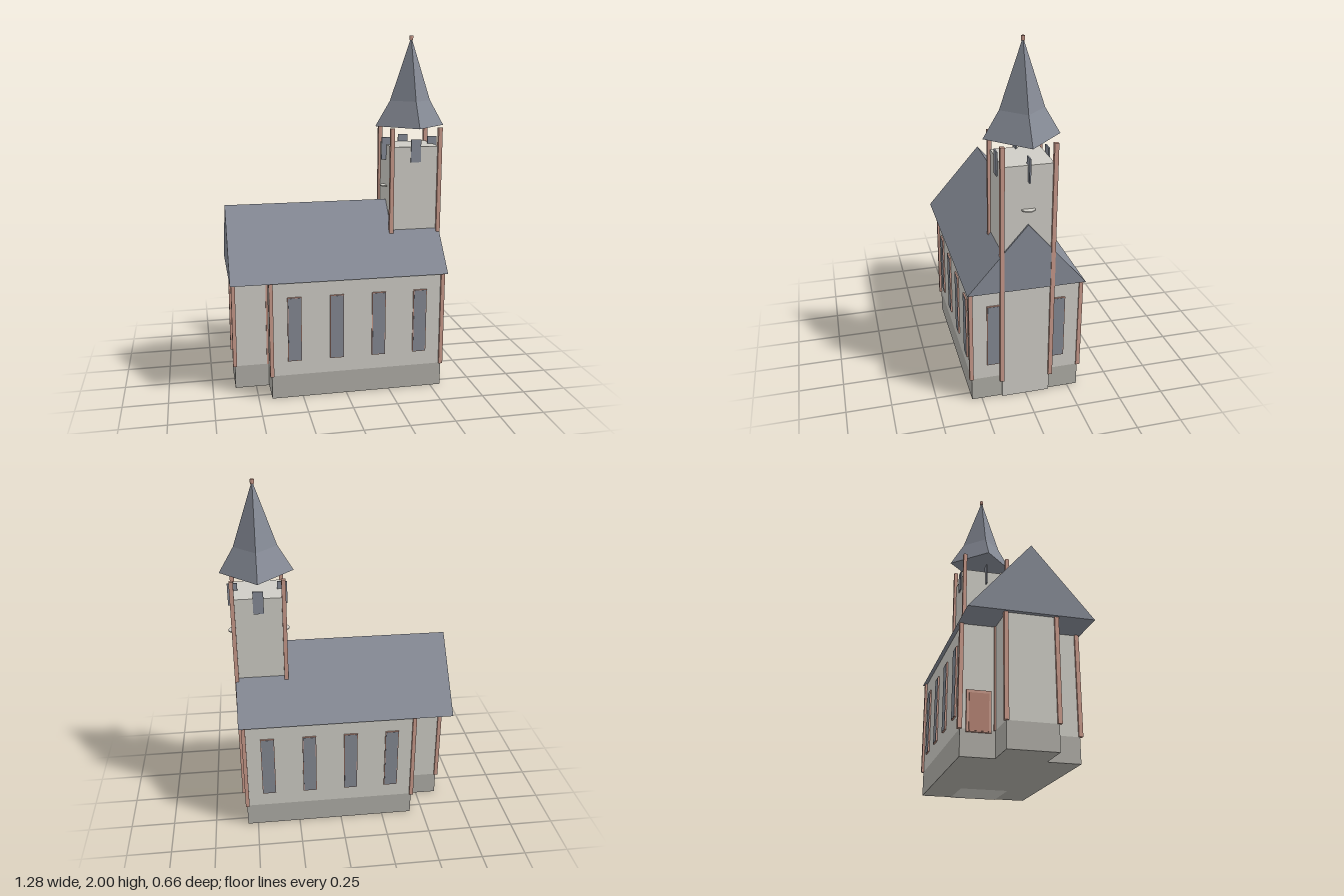
import * as THREE from 'three';

const mat = (name, color) => {
  const m = new THREE.MeshStandardMaterial({ color });
  m.name = name;
  return m;
};

export function createModel() {
  const church = new THREE.Group();
  church.name = 'church';

  const plaster = mat('plaster', 0xcfcdc6);
  const stone = mat('plinth stone', 0xb0aea7);
  const slate = mat('slate', 0x868b96);
  const glass = mat('window glass', 0x848993);
  const copper = mat('copper trim', 0xc8998a);
  const doorWood = mat('door wood', 0xb58474);

  const add = (name, geometry, material, x = 0, y = 0, z = 0, parent = church) => {
    const mesh = new THREE.Mesh(geometry, material);
    mesh.name = name;
    mesh.position.set(x, y, z);
    parent.add(mesh);
    return mesh;
  };
  // Box given by its limits on each axis
  const block = (name, material, [x0, x1], [y0, y1], [z0, z1], parent) =>
    add(name, new THREE.BoxGeometry(x1 - x0, y1 - y0, z1 - z0), material,
      (x0 + x1) / 2, (y0 + y1) / 2, (z0 + z1) / 2, parent);
  const post = (name, x, z, y0, y1, w = 0.022) =>
    block(name, copper, [x - w / 2, x + w / 2], [y0, y1], [z - w / 2, z + w / 2]);

  // Nave and chancel, each on a stone plinth
  const plinthTop = 0.135, eaves = 0.68;
  block('navePlinth', stone, [-0.425, 0.56], [0, plinthTop], [-0.306, 0.306]);
  block('naveWalls', plaster, [-0.425, 0.56], [plinthTop, eaves], [-0.306, 0.306]);
  block('chancelPlinth', stone, [-0.62, -0.425], [0, plinthTop], [-0.13, 0.13]);
  block('chancelWalls', plaster, [-0.62, -0.425], [plinthTop, eaves], [-0.13, 0.13]);

  // Gabled roof, a closed triangular prism along x
  const gable = new THREE.Shape([
    new THREE.Vector2(-0.328, eaves),
    new THREE.Vector2(0.328, eaves),
    new THREE.Vector2(0, 1.06),
  ]);
  const roof = new THREE.ExtrudeGeometry(gable, { depth: 1.228, bevelEnabled: false });
  roof.rotateY(Math.PI / 2);
  add('mainRoof', roof, slate, -0.645);

  // Tower
  const tx = 0.435, half = 0.138;
  block('tower', plaster, [tx - half, tx + half], [0, 1.383], [-0.135, 0.135]);

  for (const s of [-1, 1]) {
    // Corner posts
    post('naveCornerPost', 0.557, s * 0.308, plinthTop, eaves);
    post('naveCornerPost', -0.425, s * 0.308, plinthTop, eaves);
    post('chancelCornerPost', -0.62, s * 0.13, plinthTop, eaves);
    post('chancelJunctionPost', -0.428, s * 0.13, plinthTop, eaves, 0.016);
    for (const side of [-1, 1])
      post('towerPost', tx + side * 0.14, s * 0.139, 0.11, 1.49, 0.023);

    // Belfry shutters rising past the parapet
    block('belfryShutter', slate, [tx - 0.029, tx + 0.029], [1.295, 1.425],
      [s * half - 0.004, s * half + 0.004]);
    block('sideBelfryShutter', slate, [tx + s * half - 0.028, tx + s * half + 0.028],
      [1.295, 1.425], [-0.004, 0.004]);

    // Flat disc on each end face of the tower
    add('towerDisc', new THREE.CylinderGeometry(0.036, 0.036, 0.006, 24), plaster,
      tx + s * half, 1.143, 0);
  }

  // Framed lancet windows, facing +z before rotation
  const addWindow = (x, z, turn) => {
    const win = new THREE.Group();
    win.name = 'window';
    block('windowFrame', copper, [-0.039, 0.039], [0.22, 0.592], [-0.008, 0.008], win);
    block('windowPane', glass, [-0.035, 0.035], [0.224, 0.588], [0.006, 0.0095], win);
    win.position.set(x, 0, z);
    win.rotation.y = turn;
    church.add(win);
  };
  for (const x of [-0.295, -0.055, 0.185, 0.425]) {
    addWindow(x, 0.306, 0);
    addWindow(x, -0.306, Math.PI);
  }
  for (const z of [-0.18, 0.18]) addWindow(0.56, z, Math.PI / 2);

  // Side door beside the chancel
  block('doorFrame', copper, [-0.437, -0.42], [0.12, 0.33], [-0.278, -0.152]);
  block('doorLeaf', doorWood, [-0.44, -0.43], [0.125, 0.315], [-0.265, -0.165]);

  // Spire: four-sided, with flared eaves, corners on the axes
  const flare = new THREE.CylinderGeometry(0.12, 0.205, 0.145, 4, 1, true).toNonIndexed();
  const point = new THREE.CylinderGeometry(0.004, 0.12, 0.345, 4, 1, true).toNonIndexed();
  const soffit = new THREE.CircleGeometry(0.205, 4);
  soffit.rotateX(Math.PI / 2);
  for (const g of [flare, point]) g.computeVertexNormals();
  add('spireFlare', flare, slate, tx, 1.5625, 0);
  add('spirePoint', point, slate, tx, 1.8075, 0);
  add('spireSoffit', soffit, slate, tx, 1.49, 0);
  add('finial', new THREE.CylinderGeometry(0.011, 0.011, 0.024, 12), copper, tx, 1.988, 0);

  return church;
}
